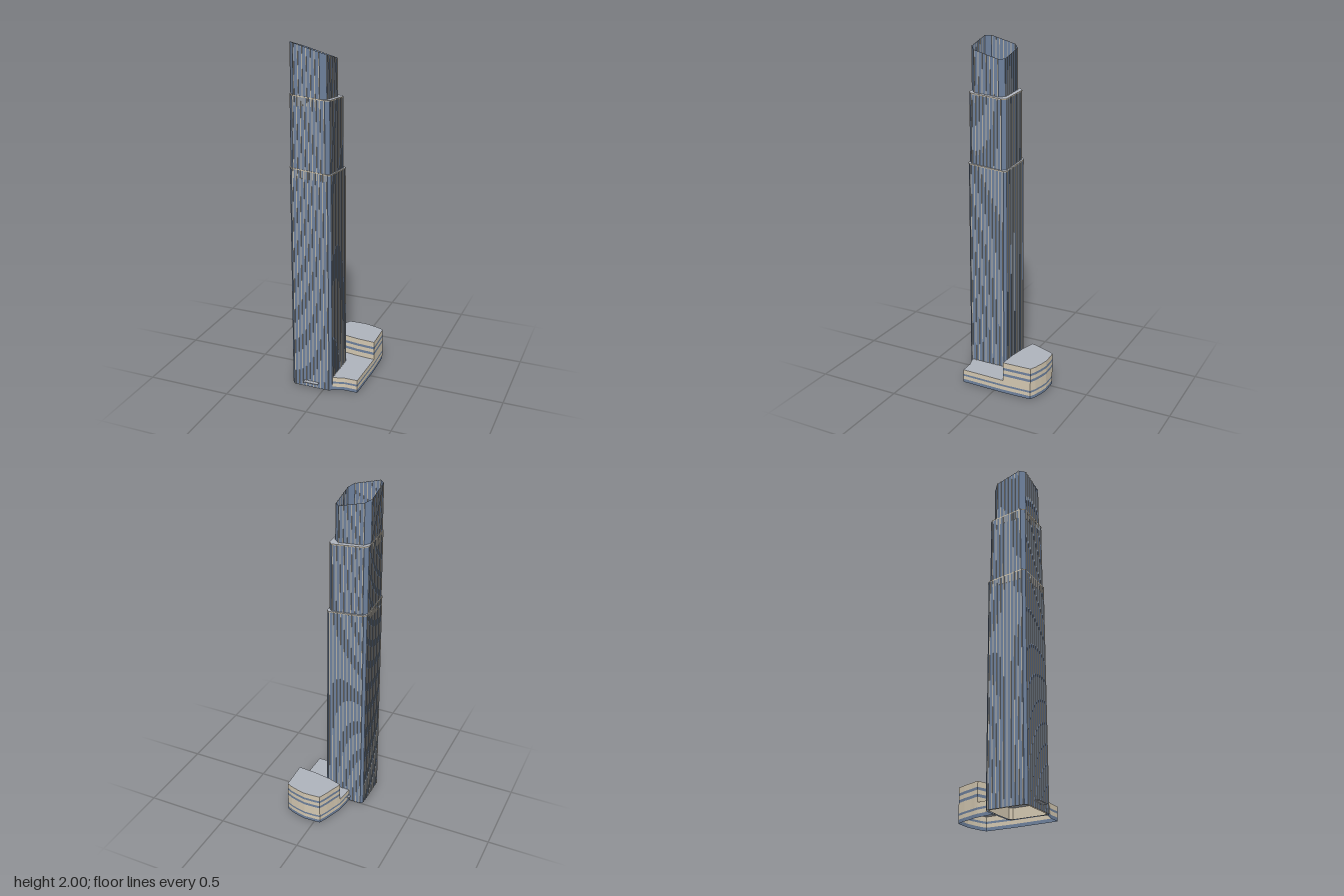
import * as THREE from 'three';
import { mergeGeometries } from 'three/addons/utils/BufferGeometryUtils.js';

const material = (name, color, side = THREE.DoubleSide) => {
  const m = new THREE.MeshStandardMaterial({ color, side });
  m.name = name;
  return m;
};

// Prism between two [x, z] outlines; y0 and y1 are numbers or functions (x, z) => y
function prism(low, high, y0, y1, { sides = true, top = true, bottom = false } = {}) {
  const at = (p, y) => [p[0], typeof y === 'function' ? y(p[0], p[1]) : y, p[1]];
  if (THREE.ShapeUtils.isClockWise(low.map(([x, z]) => new THREE.Vector2(x, -z)))) {
    low = [...low].reverse();
    high = [...high].reverse();
  }
  const pos = [];
  if (sides) {
    low.forEach((p, i) => {
      const j = (i + 1) % low.length;
      const a = at(p, y0), b = at(low[j], y0), c = at(high[j], y1), d = at(high[i], y1);
      pos.push(...a, ...b, ...c, ...a, ...c, ...d);
    });
  }
  const faces = (pts) => THREE.ShapeUtils.triangulateShape(pts.map(([x, z]) => new THREE.Vector2(x, -z)), []);
  if (top) for (const f of faces(high)) for (const k of f) pos.push(...at(high[k], y1));
  if (bottom) for (const f of faces(low)) for (const k of [f[0], f[2], f[1]]) pos.push(...at(low[k], y0));
  const g = new THREE.BufferGeometry();
  g.setAttribute('position', new THREE.Float32BufferAttribute(pos, 3));
  g.computeVertexNormals();
  return g;
}

// Chamfered rectangle, r = [xMin, xMax, zMin, zMax], grown by e
const chamfered = ([a, b, c, d], k, e = 0) => {
  a -= e; b += e; c -= e; d += e;
  return [[a + k, d], [b - k, d], [b, d - k], [b, c + k], [b - k, c], [a + k, c], [a, c + k], [a, d - k]];
};

export function createModel() {
  const root = new THREE.Group();
  root.name = 'skyscraper';
  const glass = material('blue grey glass', 0x6f829e);
  const stone = material('beige stone', 0xd6cab3);
  const metal = material('fin metal', 0xb4b0a6, THREE.FrontSide);
  const roof = material('roof grey', 0xaeb3bc);
  const add = (parent, name, geometry, mat) => {
    const m = new THREE.Mesh(geometry, mat);
    m.name = name;
    parent.add(m);
  };

  // Tower: three tapering tiers with sloping tops
  const slope = (h, s) => (x, z) => h - s * (x + 0.195) - s * (0.247 - z);
  const tiers = [
    { name: 'lowerTier', low: [-0.197, 0.049, 0, 0.246], high: [-0.194, 0.044, 0.004, 0.244],
      k: 0.014, y0: 0, y1: slope(1.33, 0.085), fins: 10 },
    { name: 'middleTier', low: [-0.192, 0.037, 0.012, 0.243], high: [-0.191, 0.035, 0.013, 0.242],
      k: 0.02, y0: 1.27, y1: slope(1.73, 0.085), fins: 9 },
    { name: 'upperTier', low: [-0.19, 0.016, 0.034, 0.241], high: [-0.19, 0.014, 0.035, 0.241],
      k: 0.028, y0: 1.67, y1: slope(2.008, 0.27), fins: 7, open: true },
  ];
  for (const t of tiers) {
    const group = new THREE.Group();
    group.name = t.name;
    root.add(group);
    const high = chamfered(t.high, t.k);
    add(group, 'glassWalls', prism(chamfered(t.low, t.k), high, t.y0, t.y1, { top: false }), glass);

    if (t.open) {
      // Roof deck sunk deep behind the tall parapet
      add(group, 'roofDeck', prism(high, high, 1.81, 1.81, { sides: false }), roof);
    } else {
      const rim = chamfered(t.high, t.k, 0.002);
      add(group, 'rimBand', prism(rim, rim, (x, z) => t.y1(x, z) - 0.006, t.y1, { top: false }), stone);
      add(group, 'setbackRoof', prism(rim, rim, t.y1, t.y1, { sides: false }), roof);
    }

    // Vertical fins on all four faces, rooted just behind the glass
    const fins = [];
    const finOutline = ([a, b, c, d], face, i) => {
      const f = (i + 0.5) / t.fins;
      const along = (s, e) => s + t.k * 0.7 + (e - s - t.k * 1.4) * f;
      const w = 0.0025, out = 0.003, root = -0.001;
      if (face < 2) {
        const x = along(a, b), z = face ? c : d, s = face ? -1 : 1;
        return [[x - w, z + s * root], [x + w, z + s * root], [x + w, z + s * out], [x - w, z + s * out]];
      }
      const z = along(c, d), x = face === 2 ? b : a, s = face === 2 ? 1 : -1;
      return [[x + s * root, z - w], [x + s * root, z + w], [x + s * out, z + w], [x + s * out, z - w]];
    };
    for (let face = 0; face < 4; face++) {
      for (let i = 0; i < t.fins; i++) {
        fins.push(prism(finOutline(t.low, face, i), finOutline(t.high, face, i), t.y0, t.y1, { bottom: true }));
      }
    }
    add(group, 'fins', mergeGeometries(fins), metal);
  }

  // Stone-lined lobby, open below, and a thin entrance canopy running through the base
  const lobby = chamfered([-0.188, 0.038, 0.014, 0.237], 0.014);
  add(root, 'lobbyWalls', prism(lobby, lobby, 0, 0.06, { top: false }), stone);
  add(root, 'lobbyCeiling', prism(lobby, lobby, 0.06, 0.06, { sides: false }), roof);
  for (const [name, z0, z1] of [['frontCanopy', 0.24, 0.27], ['backCanopy', -0.025, 0.008]]) {
    const canopy = new THREE.BoxGeometry(0.09, 0.005, z1 - z0);
    canopy.translate(-0.074, 0.036, (z0 + z1) / 2);
    add(root, name, canopy, roof);
  }

  // Podium: hollow low wing beside the tower and a taller block with a curved back
  const seam = [[0.2, -0.058], [0.09, -0.066], [-0.015, -0.083], [-0.095, -0.107]];
  const back = [[-0.087, -0.132], [-0.077, -0.157], [-0.058, -0.213], [-0.035, -0.265], [0, -0.269], [0.065, -0.271],
    [0.11, -0.262], [0.16, -0.248], [0.194, -0.232]];
  const block = [...seam, ...back, [0.198, -0.12]];
  const wing = [[0.2, -0.058], [0.195, 0.209], [0.12, 0.209], [0.042, 0.23], [0.042, 0.01], [-0.109, 0.01],
    [-0.095, -0.107], ...back, [0.198, -0.12]];
  const podium = new THREE.Group();
  podium.name = 'podium';
  root.add(podium);
  const bands = (name, outline, levels, firstGlass) => levels.slice(1).forEach((y, i) => {
    const isGlass = (i % 2 === 0) === firstGlass;
    add(podium, name + (isGlass ? 'Windows' : 'Wall'),
      prism(outline, outline, levels[i], y, { top: false }), isGlass ? glass : stone);
  });
  bands('wing', wing, [0, 0.02, 0.041, 0.053, 0.08], true);
  bands('block', block, [0.08, 0.11, 0.126, 0.148, 0.163, 0.195], false);
  add(podium, 'wingRoof', prism(wing, wing, 0.08, 0.08, { sides: false }), roof);
  add(podium, 'blockRoof', prism(block, block, 0.195, 0.195, { sides: false }), roof);

  return root;
}
